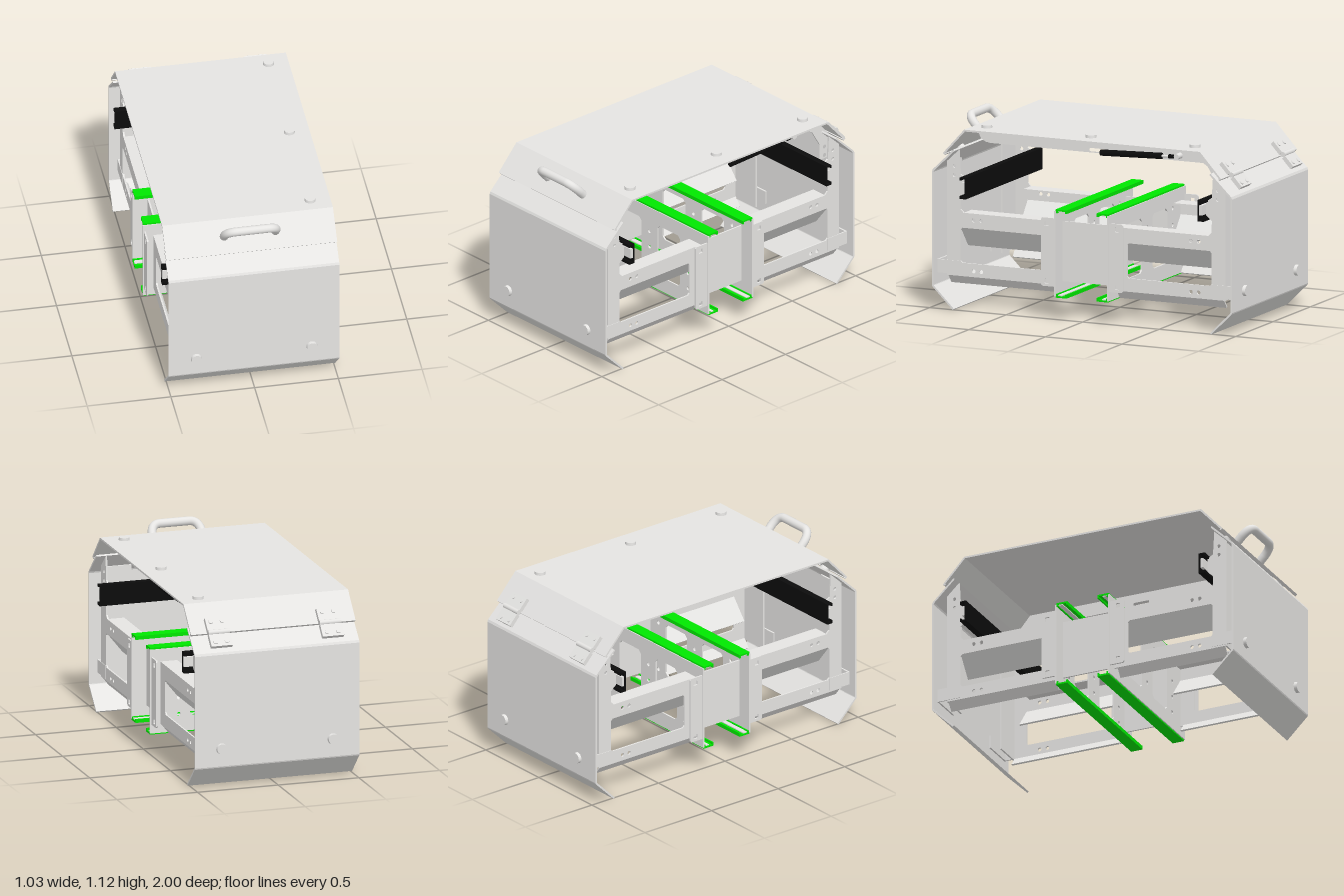
import * as THREE from 'three';

const mat = (name, color) => {
  const m = new THREE.MeshStandardMaterial({ color });
  m.name = name;
  return m;
};

export function createModel() {
  const steel = mat('painted steel', 0xe5e4e2);
  const green = mat('green plastic', 0x00f000);
  const black = mat('black metal', 0x0c0c0c);
  const root = new THREE.Group();

  const add = (name, geo, material = steel, parent = root) => {
    const mesh = new THREE.Mesh(geo, material);
    mesh.name = name;
    parent.add(mesh);
    return mesh;
  };
  const box = (name, x0, x1, y0, y1, z0, z1, material, parent) => {
    const g = new THREE.BoxGeometry(Math.abs(x1 - x0), Math.abs(y1 - y0), Math.abs(z1 - z0));
    g.translate((x0 + x1) / 2, (y0 + y1) / 2, (z0 + z1) / 2);
    return add(name, g, material, parent);
  };
  const poly = (pts) => new THREE.Shape(pts.map(([a, b]) => new THREE.Vector2(a, b)));
  const roundHole = (shape, a, b, r) => shape.holes.push(new THREE.Path().absarc(a, b, r, 0, Math.PI * 2, true));
  // Rectangular hole with corners cut by c
  const squareHole = (shape, a0, a1, b0, b1, c = 0.003) => shape.holes.push(new THREE.Path(
    [[a0, b0 + c], [a0, b1 - c], [a0 + c, b1], [a1 - c, b1], [a1, b1 - c], [a1, b0 + c], [a1 - c, b0], [a0 + c, b0]]
      .map(([a, b]) => new THREE.Vector2(a, b))));

  // Extrude a side outline given as (z, y) between two x positions
  const sideExtrude = (shape, x0, x1) => {
    const g = new THREE.ExtrudeGeometry(shape, { depth: x1 - x0, bevelEnabled: false, curveSegments: 8 });
    g.rotateY(-Math.PI / 2);
    g.translate(x1, 0, 0);
    return g;
  };
  // Bent sheet outline: a path thickened to its left with mitred corners
  const strip = (pts, t) => {
    const p = pts.map(([a, b]) => new THREE.Vector2(a, b));
    const normal = (i) => {
      const d = p[i + 1].clone().sub(p[i]).normalize();
      return new THREE.Vector2(-d.y, d.x);
    };
    const inner = p.map((v, i) => {
      const n0 = normal(Math.max(0, i - 1)), n1 = normal(Math.min(p.length - 2, i));
      const m = n0.clone().add(n1).normalize();
      return v.clone().addScaledVector(m, t / m.dot(n1));
    });
    return new THREE.Shape([...p, ...inner.reverse()]);
  };
  // Bolt head at a point, facing a direction
  const bolt = (name, pos, dir, r = 0.033, h = 0.02, parent = root) => {
    const m = add(name, new THREE.CylinderGeometry(r * 0.94, r, h, 24), steel, parent);
    m.position.set(...pos);
    m.quaternion.setFromUnitVectors(new THREE.Vector3(0, 1, 0), new THREE.Vector3(...dir).normalize());
    return m;
  };

  // Lid with sloping front and back edges
  add('lid', sideExtrude(strip([[0.897, 0.927], [0.91, 0.938], [0.77, 1.09], [-0.77, 1.09],
    [-0.91, 0.938], [-0.897, 0.927]], 0.011), -0.51, 0.51));
  for (const z of [-0.68, 0, 0.68]) bolt('lidBolt', [0.39, 1.097, z], [0, 1, 0]);

  // Lid stiffener with hinge arm
  const arm = poly([[0.735, 1.078], [0.735, 1.05], [0.72, 1.02], [0.69, 1.003], [0.66, 0.998], [-0.73, 0.998],
    [-0.76, 0.98], [-0.82, 0.88], [-0.82, 0.78], [-0.89, 0.78], [-0.89, 0.93], [-0.765, 1.078]]);
  for (const y of [0.8, 0.855]) roundHole(arm, -0.857, y, 0.012);
  squareHole(arm, -0.09, 0.01, 1.005, 1.025);
  add('lidStiffener', sideExtrude(arm, 0.375, 0.385));
  box('stiffenerFlange', 0.375, 0.44, 1.068, 1.079, -0.765, 0.735);

  // Gas strut under the lid
  const strut = new THREE.Group();
  strut.name = 'gasStrut';
  strut.position.set(0.42, 1.018, -0.28);
  strut.rotation.x = 0.035;
  root.add(strut);
  const rod = (name, r, z0, z1, material) => add(name, new THREE.CylinderGeometry(r, r, z1 - z0, 16)
    .rotateX(Math.PI / 2).translate(0, 0, (z0 + z1) / 2), material, strut);
  rod('strutBody', 0.019, -0.2, 0.2, black);
  rod('strutRod', 0.008, -0.26, -0.2, steel);
  rod('strutEnd', 0.013, -0.275, -0.245, black);
  bolt('strutPivot', [0.405, 1.03, -0.58], [1, 0, 0], 0.018, 0.06);

  // Handle on the sloping front of the lid
  const base = new THREE.Vector3(0, 1.012, 0.835), out = new THREE.Vector3(0, 0.72, 0.69);
  const hp = (x, d) => base.clone().addScaledVector(out, d).setX(x);
  const path = new THREE.CurvePath();
  path.add(new THREE.LineCurve3(hp(-0.153, -0.01), hp(-0.153, 0.05)));
  path.add(new THREE.QuadraticBezierCurve3(hp(-0.153, 0.05), hp(-0.147, 0.118), hp(-0.095, 0.122)));
  path.add(new THREE.LineCurve3(hp(-0.095, 0.122), hp(0.095, 0.122)));
  path.add(new THREE.QuadraticBezierCurve3(hp(0.095, 0.122), hp(0.147, 0.118), hp(0.153, 0.05)));
  path.add(new THREE.LineCurve3(hp(0.153, 0.05), hp(0.153, -0.01)));
  add('handle', new THREE.TubeGeometry(path, 60, 0.026, 14, false));

  // Hinges on the back, two leaves and a pin each
  for (const x of [-0.345, 0.345]) {
    const hinge = new THREE.Group();
    hinge.name = 'hinge';
    hinge.position.set(x, 0.934, -0.913);
    hinge.rotation.x = -0.82;
    root.add(hinge);
    for (const s of [-1, 1]) {
      box('hingeLeaf', -0.066, 0.066, 0, 0.026, s * 0.014, s * 0.095, steel, hinge);
      for (const bx of [-0.035, 0.035]) bolt('hingeScrew', [bx, 0.028, s * 0.068], [0, 1, 0], 0.014, 0.006, hinge);
    }
    add('hingePin', new THREE.CylinderGeometry(0.016, 0.016, 0.132, 14).rotateZ(Math.PI / 2).translate(0, 0.02, 0), steel, hinge);
  }

  // Front and back halves, the second turned half round
  for (const turn of [0, Math.PI]) {
    const half = new THREE.Group();
    half.name = turn ? 'backHalf' : 'frontHalf';
    half.rotation.y = turn;
    root.add(half);

    add('cover', sideExtrude(strip([[0.845, 0.003], [0.978, 0.134], [0.981, 0.142], [0.981, 0.822], [0.975, 0.836],
      [0.84, 0.965]], 0.011), -0.51, 0.51), steel, half);
    for (const x of [-0.345, 0.345]) {
      bolt('coverBolt', [x, 0.25, 0.99], [0, 0, 1], 0.033, 0.02, half);
      if (!turn) bolt('upperBolt', [x, 0.945, 0.873], [0, 0.7, 0.72], 0.028, 0.018, half);
    }

    // Side frame: post with upper and lower beams
    const frame = poly([[0.91, 0.2], [0.91, 0.88], [0.83, 0.955], [0.822, 0.81], [0.785, 0.785], [0.785, 0.7],
      [0.822, 0.67], [0.82, 0.6], [0.8, 0.58], [0.18, 0.58], [0.18, 0.2]]);
    squareHole(frame, 0.268, 0.82, 0.28, 0.49, 0.012);
    for (const z of [0.685, 0.735]) for (const y of [0.235, 0.54]) roundHole(frame, z, y, 0.012);
    for (const y of [0.8, 0.855]) roundHole(frame, 0.86, y, 0.011);

    // End bracket beside the centre box
    const bracket = poly([[0.178, 0.2], [0.26, 0.2], [0.268, 0.21], [0.268, 0.6], [0.26, 0.61], [0.178, 0.61]]);
    for (const y of [0.23, 0.575]) squareHole(bracket, 0.216, 0.244, y - 0.014, y + 0.014);

    for (const s of [-1, 1]) {
      const slab = (name, shape, x, t = 0.01) => add(name, sideExtrude(shape, s * x - t / 2, s * x + t / 2), steel, half);
      slab('sideFrame', frame, 0.45);
      slab('endBracket', bracket, 0.505);
      box('postFlange', s * 0.27, s * 0.45, 0.2, 0.87, 0.9, 0.91, steel, half);
      box('beamFlange', s * 0.35, s * 0.45, 0.57, 0.58, 0.18, 0.8, steel, half);
      // Angle piece joining the post to the cover
      box('tabSide', s * 0.45, s * 0.458, 0.21, 0.29, 0.82, 0.97, steel, half);
      box('tabFace', s * 0.25, s * 0.458, 0.21, 0.29, 0.96, 0.97, steel, half);
      // Sloping skirts under the beams
      const skirt = (name, y0, y1, xIn, z0, z1) => {
        const L = Math.hypot(y1 - y0, 0.45 - xIn);
        const m = add(name, new THREE.BoxGeometry(0.01, L, z1 - z0), steel, half);
        m.position.set(s * (0.45 + xIn) / 2, (y0 + y1) / 2, (z0 + z1) / 2);
        m.rotation.z = -s * Math.atan2(0.45 - xIn, y1 - y0);
      };
      skirt('upperSkirt', 0.37, 0.495, 0.35, 0.18, 0.82);
      skirt('lowerSkirt', 0.153, 0.205, 0.41, 0.2, 0.9);
    }

    // Cross plate with windows and drilled columns
    const plate = poly([[-0.517, 0.145], [0.517, 0.145], [0.517, 0.655], [-0.517, 0.655]]);
    for (const s of [-1, 1]) {
      squareHole(plate, s * 0.17 - 0.1, s * 0.17 + 0.1, 0.235, 0.565, 0.02);
      for (const y of [0.25, 0.35, 0.45, 0.55]) roundHole(plate, s * 0.34, y, 0.012);
    }
    for (const y of [0.3, 0.4, 0.5]) roundHole(plate, 0, y, 0.012);
    add('crossPlate', new THREE.ExtrudeGeometry(plate, { depth: 0.01, bevelEnabled: false, curveSegments: 8 }).translate(0, 0, 0.168), steel, half);

    // Green guide rails above and below the cross plate
    for (const [y, d] of [[0.665, -1], [0.137, 1]]) {
      box('guideRail', -0.515, 0.515, y, y + d * 0.01, 0.098, 0.172, green, half);
      for (const z of [0.098, 0.158]) box('guideLip', -0.515, 0.515, y, y + d * 0.022, z, z + 0.009, green, half);
      box('plateFlange', -0.51, 0.51, y + d * 0.01, y + d * 0.016, 0.13, 0.178, steel, half);
    }

    // Black drawer slide across the width
    box('slideBack', -0.515, 0.515, 0.674, 0.802, 0.757, 0.766, black, half);
    for (const y of [0.674, 0.794]) {
      box('slideEdge', -0.515, 0.515, y, y + 0.008, 0.757, 0.797, black, half);
    }
    for (const y of [0.674, 0.784]) box('slideLip', -0.515, 0.515, y, y + 0.018, 0.789, 0.797, black, half);
    box('slideMount', -0.512, 0.512, 0.71, 0.77, 0.767, 0.785, steel, half);
  }

  // End panels of the centre box
  for (const s of [-1, 1]) box('centrePanel', s * 0.415, s * 0.425, 0.22, 0.58, -0.17, 0.17);

  return root;
}
